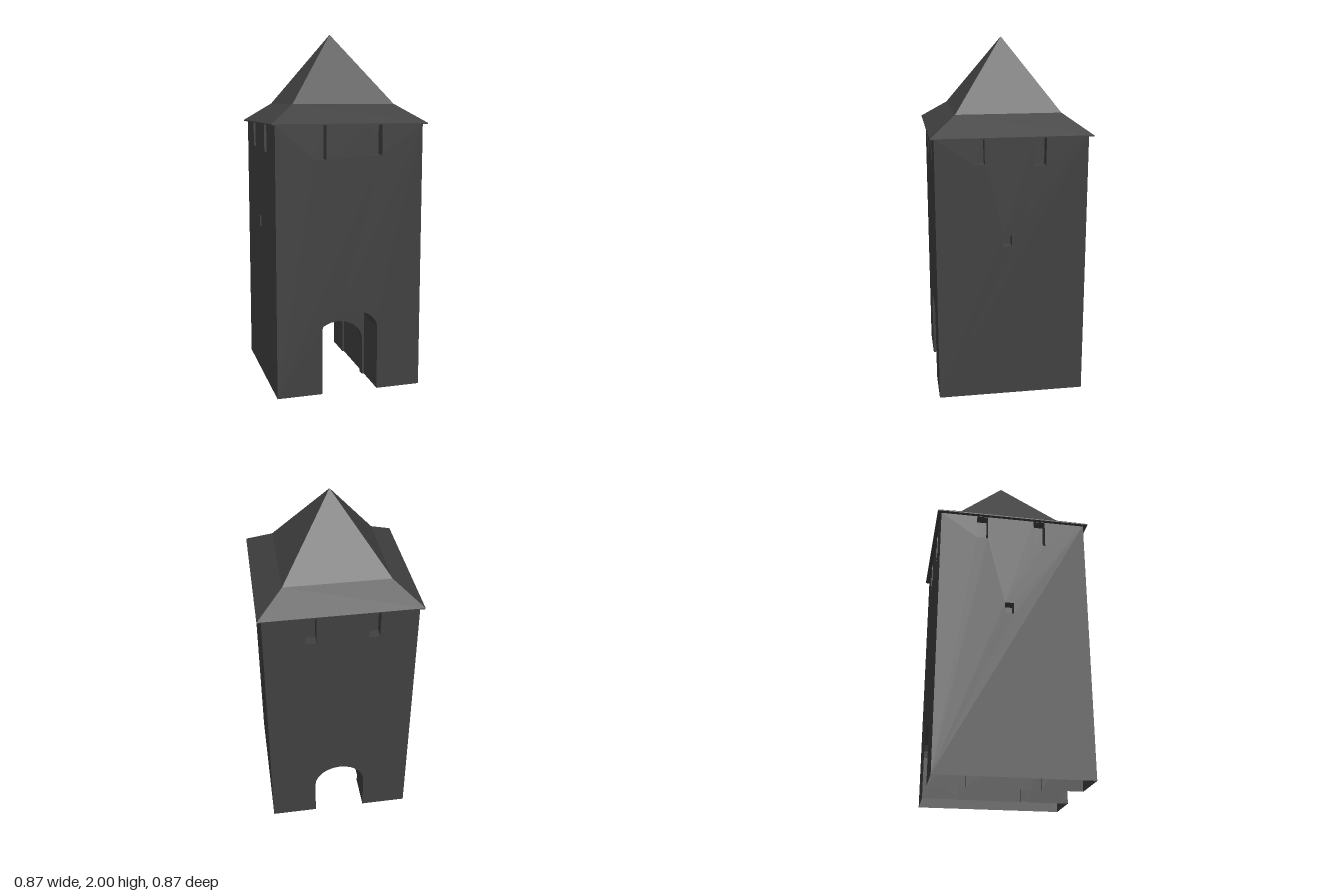
import * as THREE from 'three';

const W = 0.415, H = 1.499;
const stone = new THREE.MeshStandardMaterial({ color: 0x404040, side: THREE.DoubleSide });
stone.name = 'dark stone';

const V = (x, y) => new THREE.Vector2(x, y);

function mesh(name, geometry) {
  const m = new THREE.Mesh(geometry, stone);
  m.name = name;
  return m;
}

// Arch outline from the right foot over the top to the left foot
function arch(half, spring, top, segments) {
  const pts = [V(half, 0)];
  for (let i = 0; i <= segments; i++) {
    const a = (Math.PI * i) / segments;
    pts.push(V(half * Math.cos(a), spring + (top - spring) * Math.sin(a)));
  }
  pts.push(V(-half, 0));
  return pts;
}

// Inward-facing strip that follows an outline between two depths
function tunnel(pts, zFront, zBack) {
  const pos = [];
  for (let i = 0; i < pts.length - 1; i++) {
    const p = pts[i], q = pts[i + 1];
    pos.push(p.x, p.y, zFront, q.x, q.y, zFront, q.x, q.y, zBack);
    pos.push(p.x, p.y, zFront, q.x, q.y, zBack, p.x, p.y, zBack);
  }
  const g = new THREE.BufferGeometry();
  g.setAttribute('position', new THREE.Float32BufferAttribute(pos, 3));
  g.computeVertexNormals();
  return g;
}

const rectangle = ([x0, x1, y0, y1]) => [V(x0, y0), V(x1, y0), V(x1, y1), V(x0, y1), V(x0, y0)];

// One wall sheet with recessed openings and an optional gateway
function wall(name, angle, openings, gate) {
  const group = new THREE.Group();
  group.name = name;
  const outline = [V(-W, 0), ...(gate ? [...gate].reverse() : []), V(W, 0), V(W, H), V(-W, H)];
  const shape = new THREE.Shape(outline);
  for (const o of openings) {
    shape.holes.push(new THREE.Path(rectangle(o)));
    group.add(mesh('recessSides', tunnel(rectangle(o), W, W - 0.06)));
    const back = mesh('recessBack', new THREE.PlaneGeometry(o[1] - o[0], o[3] - o[2]));
    back.position.set((o[0] + o[1]) / 2, (o[2] + o[3]) / 2, W - 0.06);
    group.add(back);
  }
  const sheet = mesh('wallFace', new THREE.ShapeGeometry(shape));
  sheet.position.z = W;
  group.add(sheet);
  group.rotation.y = angle;
  return group;
}

export function createModel() {
  const tower = new THREE.Group();
  tower.name = 'gateTower';

  // Passage sections from front to back
  const sections = [
    { pts: arch(0.16, 0.36, 0.467, 16), from: W, to: 0.19 },
    { pts: arch(0.148, 0.215, 0.34, 10), from: 0.19, to: 0.14 },
    { pts: arch(0.16, 0.25, 0.40, 16), from: 0.14, to: -0.215 },
    { pts: arch(0.15, 0.225, 0.365, 12), from: -0.215, to: -W },
  ];
  sections.forEach((s, i) => {
    tower.add(mesh('passageVault', tunnel(s.pts, s.from, s.to)));
    if (i === 0) return;
    // Step face between neighbouring sections
    const prev = sections[i - 1].pts;
    const [outer, inner] = prev[0].x > s.pts[0].x ? [prev, s.pts] : [s.pts, prev];
    const step = mesh('passageStep', new THREE.ShapeGeometry(new THREE.Shape([...outer, ...[...inner].reverse()])));
    step.position.z = s.from;
    tower.add(step);
  });

  // Walls with loopholes under the eaves and small side windows
  const top = 1.494;
  const sideOpenings = [
    [-0.21, -0.148, 1.355, top],
    [0.12, 0.185, 1.34, top],
    [-0.05, 0, 0.893, 0.957],
  ];
  tower.add(
    wall('frontWall', 0, [[-0.2, -0.135, 1.31, top], [0.125, 0.18, 1.33, top]], sections[0].pts),
    wall('leftWall', Math.PI / 2, sideOpenings),
    wall('backWall', Math.PI, [[-0.19, -0.13, 1.32, top], [0.15, 0.21, 1.33, top]], sections[3].pts),
    wall('rightWall', -Math.PI / 2, sideOpenings),
  );

  // Square roof with flared eaves
  const profile = [[0, 1.496], [0.437, 1.496], [0.437, 1.502], [0.29, 1.605], [0, 2]];
  const roof = new THREE.LatheGeometry(profile.map(([r, y]) => V(r * Math.SQRT2, y)), 4, Math.PI / 4).toNonIndexed();
  roof.computeVertexNormals();
  tower.add(mesh('roof', roof));

  return tower;
}
